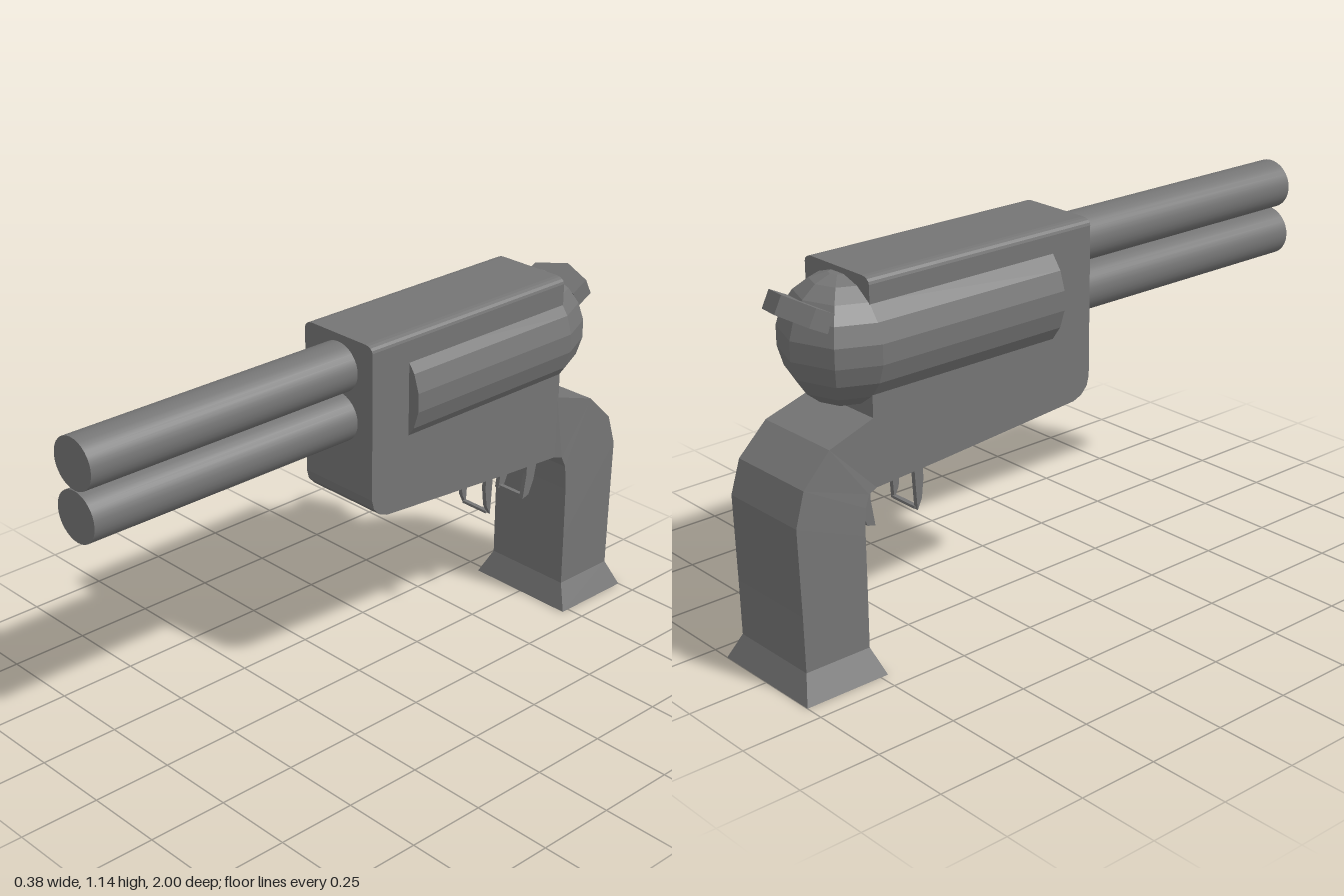
import * as THREE from 'three';

const flat = new THREE.MeshStandardMaterial({ color: 0x757575, flatShading: true });
const smooth = new THREE.MeshStandardMaterial({ color: 0x757575 });

// Skin a row of equal-sized convex rings (clockwise seen from the last one) and cap both ends.
function loft(rings) {
  const n = rings[0].length, index = [];
  for (let r = 0; r < rings.length - 1; r++) {
    for (let i = 0; i < n; i++) {
      const a = r * n + i, b = r * n + (i + 1) % n;
      index.push(b, a, a + n, b, a + n, b + n);
    }
  }
  const end = (rings.length - 1) * n;
  for (let i = 1; i < n - 1; i++) index.push(0, i, i + 1, end, end + i + 1, end + i);
  const geo = new THREE.BufferGeometry();
  geo.setAttribute('position', new THREE.Float32BufferAttribute(rings.flat(2), 3));
  geo.setIndex(index);
  const out = geo.toNonIndexed();
  out.computeVertexNormals();
  return out;
}

export function createModel() {
  const group = new THREE.Group();
  const add = (name, geo, mat = flat) => {
    const mesh = new THREE.Mesh(geo, mat);
    mesh.name = name;
    group.add(mesh);
    return mesh;
  };

  // Receiver: softened top edges, underside height given along z
  const underside = [[-0.71, 0.545], [-0.48, 0.56], [0.02, 0.6], [0.05, 0.612], [0.072, 0.635], [0.08, 0.665]];
  add('receiver', loft(underside.map(([z, b]) => {
    const ring = [[-0.14, b, z]];
    for (const side of [-1, 1]) {
      for (let i = 0; i <= 4; i++) {
        const t = (side < 0 ? i : 4 - i) * Math.PI / 8;
        ring.push([side * (0.11 + 0.03 * Math.cos(t)), 1.12 + 0.02 * Math.sin(t), z]);
      }
    }
    ring.push([0.14, b, z]);
    return ring;
  })));

  // Grip: back z, back y, front z, front y, half width
  const gripRows = [
    [-1, 0, -0.725, 0, 0.19], [-0.97, 0.08, -0.755, 0.08, 0.15],
    [-0.973, 0.25, -0.755, 0.25, 0.15], [-0.98, 0.51, -0.755, 0.42, 0.149],
    [-0.95, 0.61, -0.75, 0.5, 0.147], [-0.86, 0.7, -0.735, 0.535, 0.144],
    [-0.705, 0.75, -0.705, 0.545, 0.14],
  ];
  add('grip', loft(gripRows.map(([zb, yb, zf, yf, w]) =>
    [[-w, yb, zb], [w, yb, zb], [w, yf, zf], [-w, yf, zf]])));

  // Two stacked barrels, slightly wider than tall
  for (const [name, y] of [['upperBarrel', 1.041], ['lowerBarrel', 0.888]]) {
    const barrel = add(name, new THREE.CylinderGeometry(0.08, 0.08, 0.96, 32), smooth);
    barrel.rotation.x = Math.PI / 2;
    barrel.scale.z = 0.945;
    barrel.position.set(0, y, 0.52);
  }

  // Twenty-sided drum
  const drum = add('drum', new THREE.CylinderGeometry(0.186, 0.186, 0.645, 20, 1, false, Math.PI / 20));
  drum.rotation.x = -Math.PI / 2;
  drum.position.set(-0.005, 0.94, -0.3855);

  // Domed rear: a half turn in four panels about the vertical axis
  const profile = [new THREE.Vector2(0, -0.184)];
  for (let i = 0; i < 10; i++) {
    const t = (i * 18 - 81) * Math.PI / 180;
    profile.push(new THREE.Vector2(0.186 * Math.cos(t), 0.186 * Math.sin(t)));
  }
  profile.push(new THREE.Vector2(0, 0.184));
  const dome = add('drumDome', new THREE.LatheGeometry(profile, 4, Math.PI / 2, Math.PI));
  dome.scale.z = 0.9;
  dome.position.set(-0.005, 0.94, -0.708);

  // Chevron hammer tilted on the dome
  const chevron = new THREE.Shape([[-0.105, 0], [0, 0.038], [0.105, 0], [0.105, 0.065], [0, 0.103], [-0.105, 0.065]]
    .map(([x, y]) => new THREE.Vector2(x, y)));
  const hammer = add('hammer', new THREE.ExtrudeGeometry(chevron, { depth: 0.055, bevelEnabled: false }));
  hammer.rotation.x = -1.1;
  hammer.position.set(-0.005, 1.005, -0.825);

  // Open trigger loops: two curved posts, outlined in (z, y), joined by a thin bar at the tips
  const triggers = [
    ['frontTrigger', -0.5, [[-0.483, 0.575], [-0.48, 0.48], [-0.487, 0.42], [-0.503, 0.387], [-0.508, 0.46], [-0.515, 0.575]]],
    ['rearTrigger', -0.664, [[-0.668, 0.565], [-0.667, 0.47], [-0.653, 0.387], [-0.68, 0.395], [-0.7, 0.44], [-0.713, 0.5], [-0.72, 0.56]]],
  ];
  for (const [name, barZ, pts] of triggers) {
    const shape = new THREE.Shape(pts.map(([z, y]) => new THREE.Vector2(-z, y)));
    for (const x of [-0.06, 0.045]) {
      const post = add(name + 'Post', new THREE.ExtrudeGeometry(shape, { depth: 0.015, bevelEnabled: false }));
      post.rotation.y = Math.PI / 2;
      post.position.x = x;
    }
    const bar = add(name + 'Bar', new THREE.BoxGeometry(0.1, 0.008, 0.014));
    bar.position.set(0, 0.393, barZ);
  }
  return group;
}
